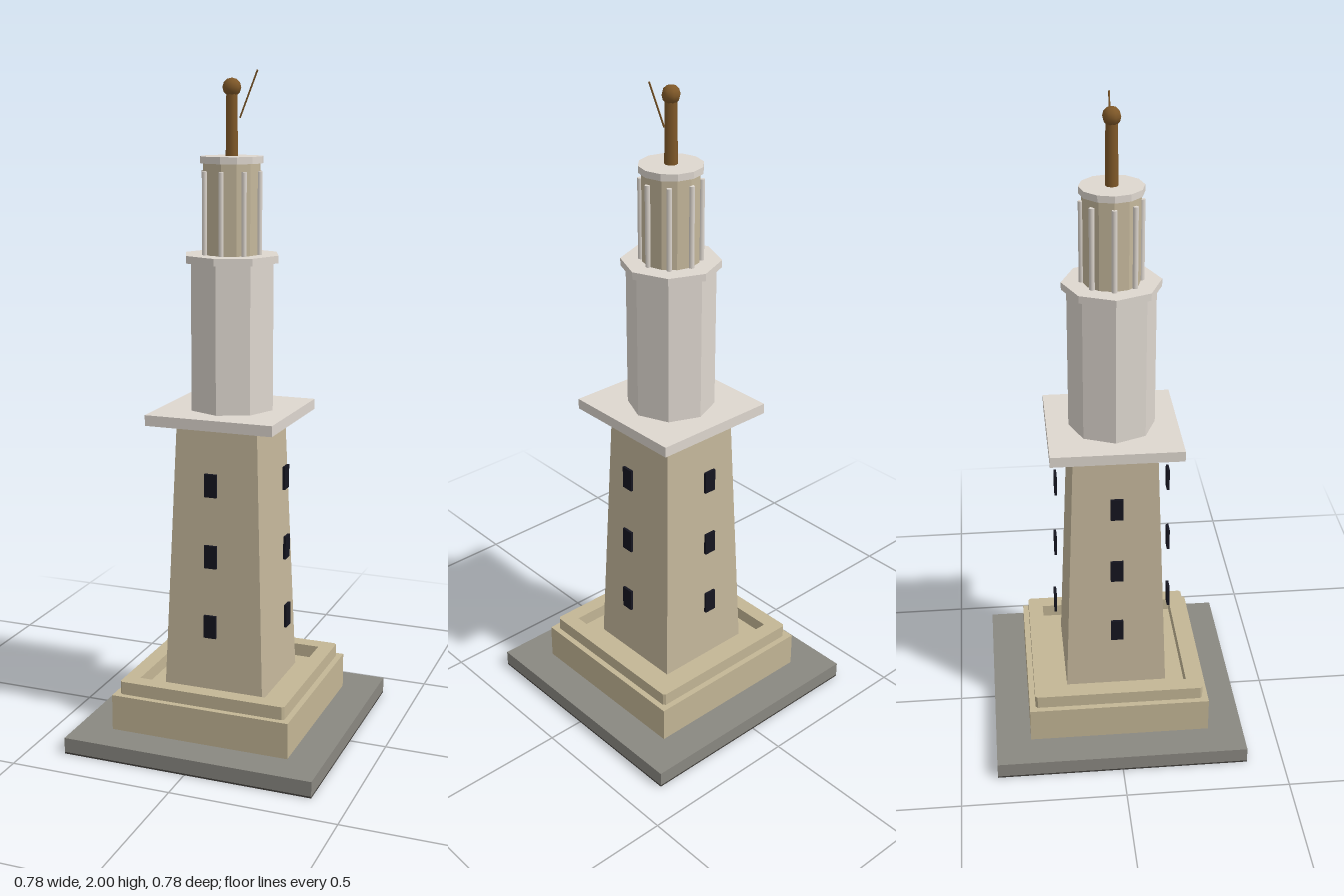
import * as THREE from 'three';

const mat = (name, color) => {
  const m = new THREE.MeshStandardMaterial({ color });
  m.name = name;
  return m;
};

export function createModel() {
  const slate = mat('slate', 0x8a8881);
  const underside = mat('darkUnderside', 0x44413d);
  const limestone = mat('limestone', 0xc4b79b);
  const sandstone = mat('sandstone', 0xc3b695);
  const marble = mat('marble', 0xded7cf);
  const bronze = mat('bronze', 0x7f5828);
  const glass = mat('windowDark', 0x151520);

  const model = new THREE.Group();
  model.name = 'lighthouse';
  const add = (name, geometry, material, x = 0, y = 0, z = 0, parent = model) => {
    const mesh = new THREE.Mesh(geometry, material);
    mesh.name = name;
    mesh.position.set(x, y, z);
    parent.add(mesh);
    return mesh;
  };
  const slab = (name, half, y0, y1, material) =>
    add(name, new THREE.BoxGeometry(half * 2, y1 - y0, half * 2), material, 0, (y0 + y1) / 2);
  // Faceted upright prism between two heights
  const prism = (name, rTop, rBottom, y0, y1, sides, material, turn = 0) => {
    const g = new THREE.CylinderGeometry(rTop, rBottom, y1 - y0, sides).rotateY(turn).toNonIndexed();
    g.computeVertexNormals();
    return add(name, g, material, 0, (y0 + y1) / 2);
  };

  // Stepped base on a thin dark footing
  slab('footing', 0.388, 0, 0.005, underside);
  slab('plinth', 0.388, 0.005, 0.05, slate);
  slab('podium', 0.28, 0.05, 0.16, sandstone);

  // Parapet frame with slightly clipped corners
  const h = 0.262, c = 0.007, inner = 0.215;
  const frame = new THREE.Shape([
    [-h + c, -h], [h - c, -h], [h, -h + c], [h, h - c],
    [h - c, h], [-h + c, h], [-h, h - c], [-h, -h + c],
  ].map(([x, y]) => new THREE.Vector2(x, y)));
  frame.holes.push(new THREE.Path([
    [-inner, -inner], [-inner, inner], [inner, inner], [inner, -inner],
  ].map(([x, y]) => new THREE.Vector2(x, y))));
  add('parapet', new THREE.ExtrudeGeometry(frame, { depth: 0.04, bevelEnabled: false }).rotateX(-Math.PI / 2),
    sandstone, 0, 0.16, 0);

  // Tapered square tower and its gallery
  prism('squareTower', 0.126 * Math.SQRT2, 0.157 * Math.SQRT2, 0.16, 0.986, 4, limestone, Math.PI / 4);
  slab('gallery', 0.197, 0.985, 1.017, marble);

  // Windows, standing just clear of the tower on all four sides
  const pane = new THREE.BoxGeometry(0.038, 0.07, 0.008);
  for (let side = 0; side < 4; side++) {
    const wall = new THREE.Group();
    wall.name = 'windowColumn';
    wall.rotation.y = side * Math.PI / 2;
    model.add(wall);
    [[0.382, 0.181], [0.599, 0.177], [0.816, 0.173]].forEach(([y, z]) =>
      add('window', pane, glass, 0, y, z, wall));
  }

  // Octagonal stage
  prism('octagonStage', 0.13, 0.13, 1.017, 1.455, 8, marble);
  prism('octagonCornice', 0.145, 0.145, 1.454, 1.476, 8, marble);

  // Round lantern with eight slim columns
  prism('lantern', 0.084, 0.084, 1.476, 1.74, 12, limestone);
  const column = new THREE.CylinderGeometry(0.008, 0.008, 0.24, 8);
  for (let i = 0; i < 8; i++) {
    const a = i * Math.PI / 4;
    add('lanternColumn', column, marble, 0.086 * Math.sin(a), 1.596, 0.086 * Math.cos(a));
  }
  prism('lanternCap', 0.093, 0.093, 1.738, 1.758, 12, marble);

  // Crowning statue with a slanted spear
  add('statueBody', new THREE.CylinderGeometry(0.017, 0.019, 0.18, 8), bronze, 0, 1.846, 0);
  add('statueHead', new THREE.SphereGeometry(0.027, 8, 6).rotateY(Math.PI / 8), bronze, 0, 1.951, 0);
  const from = new THREE.Vector3(0.025, 1.866, 0), to = new THREE.Vector3(0.078, 1.999, 0);
  const spear = add('statueSpear', new THREE.CylinderGeometry(0.0025, 0.0025, from.distanceTo(to), 6), bronze);
  spear.position.copy(from).lerp(to, 0.5);
  spear.quaternion.setFromUnitVectors(new THREE.Vector3(0, 1, 0), to.clone().sub(from).normalize());

  return model;
}
